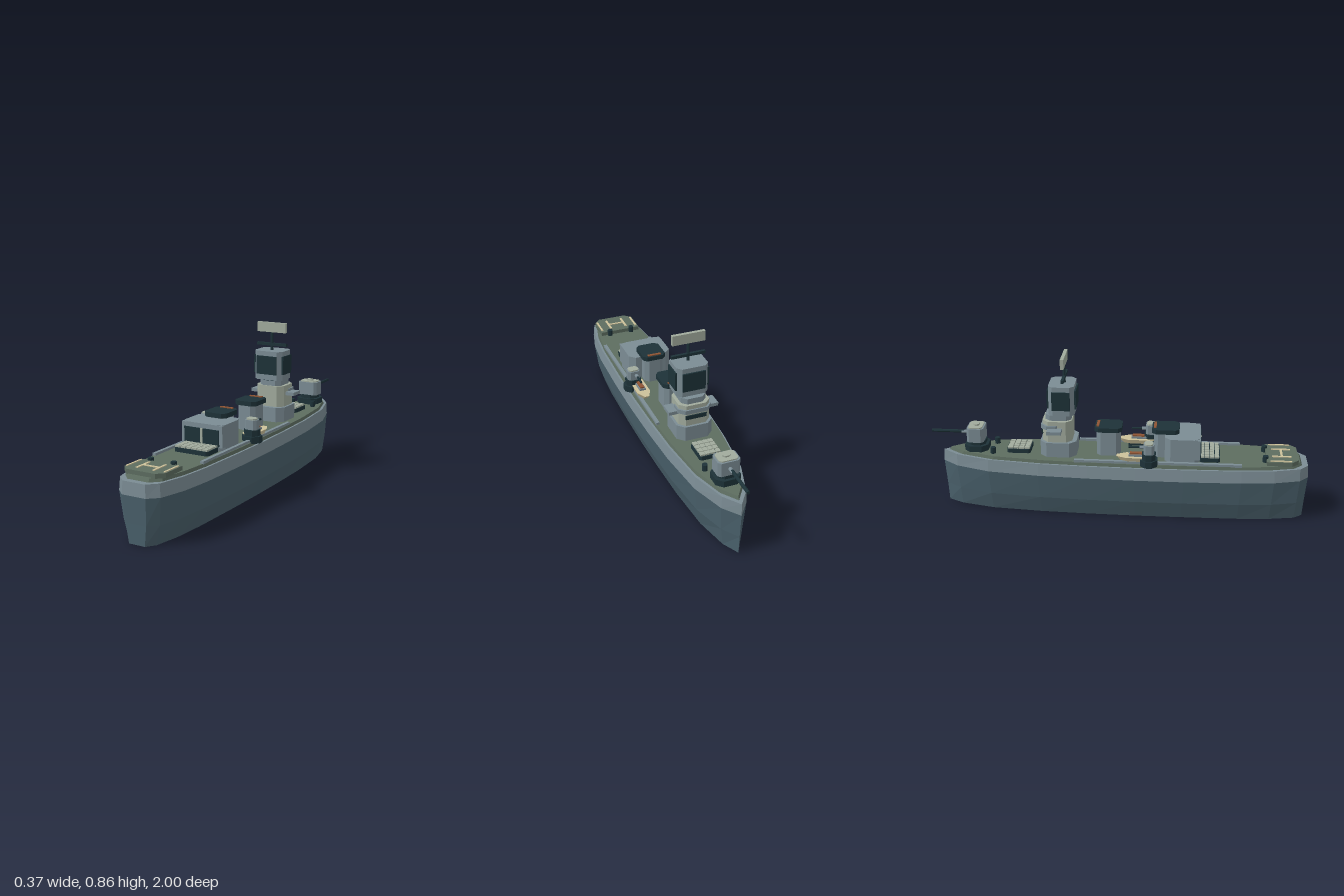
import * as THREE from 'three';

const mat = (name, color) => {
  const m = new THREE.MeshStandardMaterial({ color });
  m.name = name;
  m.flatShading = true;
  return m;
};

// Solid through stacked rings; each ring is [y, [[x, z], ...]], clockwise from above
function loft(rings, capBottom = true, capTop = true) {
  const n = rings[0][1].length, pos = [], index = [];
  for (const [y, pts] of rings) for (const [x, z] of pts) pos.push(x, y, z);
  for (let r = 0; r < rings.length - 1; r++)
    for (let i = 0; i < n; i++) {
      const j = (i + 1) % n, a = r * n, b = a + n;
      index.push(a + i, b + i, a + j, b + i, b + j, a + j);
    }
  const top = (rings.length - 1) * n;
  for (let i = 1; i < n - 1; i++) {
    if (capBottom) index.push(0, i, i + 1);
    if (capTop) index.push(top, top + i + 1, top + i);
  }
  const g = new THREE.BufferGeometry();
  g.setAttribute('position', new THREE.Float32BufferAttribute(pos, 3));
  g.setIndex(index);
  const flat = g.toNonIndexed();
  flat.computeVertexNormals();
  return flat;
}

// Rectangle with cut corners
const octagon = (w, d, c) => {
  const x = w / 2, z = d / 2;
  return [[-x + c, -z], [x - c, -z], [x, -z + c], [x, z - c], [x - c, z], [-x + c, z], [-x, z - c], [-x, -z + c]];
};

// Hull outline, half of it mirrored
const half = [[0.065, -0.86], [0.125, -0.68], [0.157, -0.41], [0.17, -0.15], [0.176, 0.1], [0.175, 0.35],
  [0.167, 0.65], [0.15, 0.82], [0.115, 0.955], [0.065, 1.0]];
const outline = [[0, -0.945], ...half, ...half.slice().reverse().map(([x, z]) => [-x, z])];
const hullRing = (y, sx, sz) => [y, outline.map(([x, z]) => [x * sx, 0.03 + (z - 0.03) * sz])];

export function createModel() {
  const ship = new THREE.Group();
  ship.name = 'warship';
  const hullBlue = mat('hull blue', 0x4a616c);
  const grey = mat('ship grey', 0x7b8c94);
  const green = mat('deck green', 0x5d6d60);
  const dark = mat('dark teal', 0x1d3238);
  const pale = mat('pale grey green', 0xa1ab9d);
  const tan = mat('tan', 0xccc19a);
  const orange = mat('rust orange', 0x8f5534);
  // The hull is an open shell underneath
  hullBlue.side = grey.side = THREE.DoubleSide;

  const add = (name, geo, m, x = 0, y = 0, z = 0, parent = ship) => {
    const mesh = new THREE.Mesh(geo, m);
    mesh.name = name;
    mesh.position.set(x, y, z);
    parent.add(mesh);
    return mesh;
  };
  // Boxes and cut-corner blocks are placed by their base height
  const box = (name, m, w, h, d, x, y, z, parent) =>
    add(name, new THREE.BoxGeometry(w, h, d), m, x, y + h / 2, z, parent);
  const block = (name, m, w, h, d, c, x, y, z, parent) => {
    const pts = octagon(w, d, c);
    return add(name, loft([[0, pts], [h, pts]]), m, x, y, z, parent);
  };
  const post = (name, m, r, h, x, y, z) =>
    add(name, new THREE.CylinderGeometry(r, r, h, 8), m, x, y + h / 2, z);
  const barrel = (name, m, r, z0, z1, x, y, parent) => {
    const b = add(name, new THREE.CylinderGeometry(r, r, z0 - z1, 8), m, x, y, (z0 + z1) / 2, parent);
    b.rotation.x = -Math.PI / 2;
  };

  // Hull shell and deck
  add('lowerHull', loft([hullRing(0, 0.68, 0.985), hullRing(0.1, 0.88, 0.99), hullRing(0.235, 1, 1)], false, false), hullBlue);
  add('upperHull', loft([hullRing(0.235, 1, 1), hullRing(0.3, 0.95, 0.997)], false), grey);
  add('deck', loft([hullRing(0.3, 0.89, 0.965), hullRing(0.317, 0.87, 0.955)]), green);
  for (const s of [-1, 1]) {
    box('sideRail', grey, 0.018, 0.014, 0.87, s * 0.137, 0.315, 0.215);
    for (const z of [-0.66, 0.775]) post('bollard', dark, 0.015, 0.035, s * 0.065, 0.315, z);
  }

  // Landing pad with painted marks
  const pad = [[-0.115, 0.78], [0.115, 0.78], [0.115, 0.91], [0.08, 0.945], [-0.08, 0.945], [-0.115, 0.91]];
  add('landingPad', loft([[0.315, pad], [0.338, pad]]), green);
  for (const s of [-1, 1]) {
    box('padStripe', tan, 0.01, 0.004, 0.11, s * 0.104, 0.338, 0.853);
    box('padMark', tan, 0.012, 0.004, 0.1, s * 0.046, 0.338, 0.86);
  }
  box('padMarkBar', tan, 0.08, 0.004, 0.012, 0, 0.338, 0.86);

  // Launch cell grids
  const cells = (w, d, cols, rows, z) => {
    const g = new THREE.Group();
    g.name = 'launchCells';
    g.position.set(0, 0.315, z);
    ship.add(g);
    block('cellBase', dark, w, 0.024, d, 0.01, 0, 0, 0, g);
    const cw = (w - 0.006) / cols, cd = (d - 0.006) / rows;
    for (let i = 0; i < cols; i++)
      for (let j = 0; j < rows; j++)
        box('cellLid', pale, cw - 0.004, 0.009, cd - 0.004,
          (i + 0.5 - cols / 2) * cw, 0.024, (j + 0.5 - rows / 2) * cd, g);
  };
  cells(0.115, 0.125, 4, 4, -0.525);
  cells(0.195, 0.108, 6, 4, 0.485);

  // Main gun
  const gun = new THREE.Group();
  gun.name = 'mainGun';
  gun.position.set(0, 0.315, -0.755);
  ship.add(gun);
  block('gunBase', dark, 0.13, 0.035, 0.125, 0.03, 0, 0, 0, gun);
  block('gunRing', dark, 0.1, 0.02, 0.095, 0.025, 0, 0.035, 0, gun);
  block('gunHouse', grey, 0.115, 0.076, 0.09, 0.014, 0, 0.053, -0.003, gun);
  block('gunRoof', pale, 0.098, 0.006, 0.074, 0.012, 0, 0.129, -0.003, gun);
  block('gunHatch', pale, 0.04, 0.008, 0.03, 0.01, 0, 0.135, 0, gun);
  barrel('gunSleeve', grey, 0.01, -0.04, -0.085, 0, 0.092, gun);
  barrel('gunBarrel', dark, 0.009, -0.07, -0.245, 0, 0.094, gun);

  // Bridge tower
  block('bridgeBase', grey, 0.19, 0.08, 0.19, 0.035, 0, 0.317, -0.31);
  block('bridgeMiddle', pale, 0.165, 0.115, 0.155, 0.03, 0, 0.397, -0.315);
  box('bridgeWings', grey, 0.265, 0.018, 0.075, 0, 0.458, -0.325);
  block('bridgeBrow', grey, 0.178, 0.022, 0.11, 0.03, 0, 0.468, -0.345);
  box('bridgeWindows', dark, 0.11, 0.022, 0.008, 0, 0.435, -0.394);
  block('bridgeTop', grey, 0.13, 0.03, 0.135, 0.025, 0, 0.512, -0.31);
  block('mastNeck', dark, 0.1, 0.008, 0.1, 0.02, 0, 0.54, -0.29);
  block('radarHouse', grey, 0.167, 0.158, 0.135, 0.023, 0, 0.546, -0.29);
  for (const s of [-1, 1]) {
    box('radarPanel', dark, 0.12, 0.1, 0.012, 0, 0.578, -0.29 + s * 0.07);
    box('radarPanel', dark, 0.012, 0.1, 0.095, s * 0.084, 0.578, -0.29);
  }
  post('mast', dark, 0.008, 0.11, 0, 0.7, -0.28);
  box('mastYard', dark, 0.18, 0.015, 0.015, 0, 0.728, -0.28);
  box('radarPlate', pale, 0.173, 0.053, 0.018, 0, 0.802, -0.28);

  // Funnels
  for (const z of [-0.048, 0.253]) {
    block('funnel', grey, 0.105, 0.145, 0.125, 0.022, 0, 0.315, z);
    block('funnelCap', dark, 0.127, 0.024, 0.143, 0.02, 0, 0.452, z);
    box('funnelStripe', orange, 0.075, 0.006, 0.014, 0, 0.475, z - 0.056);
  }

  // Hangar with double door
  block('hangar', grey, 0.235, 0.13, 0.185, 0.03, 0, 0.317, 0.343);
  box('hangarFront', grey, 0.235, 0.11, 0.03, 0, 0.335, 0.42);
  for (const s of [-1, 1]) box('hangarDoor', dark, 0.094, 0.083, 0.008, s * 0.053, 0.34, 0.436);
  box('doorPost', pale, 0.012, 0.083, 0.008, 0, 0.34, 0.437);

  // Boats and side guns, mirrored
  const boatRing = k => [[-0.012, -0.1], [0.012, -0.1], [0.036, -0.05], [0.036, 0.075], [0.022, 0.095],
    [-0.022, 0.095], [-0.036, 0.075], [-0.036, -0.05]].map(([x, z]) => [x * k, z * k]);
  for (const s of [-1, 1]) {
    const boat = new THREE.Group();
    boat.name = 'boat';
    boat.position.set(s * 0.115, 0.322, 0.1);
    ship.add(boat);
    box('boatCradle', dark, 0.06, 0.012, 0.1, 0, -0.006, 0, boat);
    add('boatHull', loft([[0.004, boatRing(0.75)], [0.03, boatRing(1)]]), tan, 0, 0, 0, boat);
    box('boatCabin', grey, 0.034, 0.01, 0.08, 0, 0.03, 0.005, boat);
    box('boatCover', orange, 0.022, 0.008, 0.065, 0, 0.04, 0.003, boat);

    const mount = new THREE.Group();
    mount.name = 'sideGun';
    mount.position.set(s * 0.133, 0.31, 0.17);
    ship.add(mount);
    block('sideGunBase', dark, 0.1, 0.035, 0.09, 0.028, 0, 0, 0, mount);
    block('sideGunRing', dark, 0.08, 0.032, 0.07, 0.02, 0, 0.035, 0, mount);
    block('sideGunHouse', grey, 0.066, 0.05, 0.055, 0.012, 0, 0.067, 0, mount);
    block('sideGunRoof', pale, 0.054, 0.007, 0.044, 0.01, 0, 0.117, 0, mount);
    barrel('sideGunSleeve', grey, 0.01, -0.02, -0.05, -s * 0.01, 0.094, mount);
    barrel('sideGunBarrel', dark, 0.006, -0.03, -0.105, -s * 0.01, 0.094, mount);
  }
  return ship;
}
